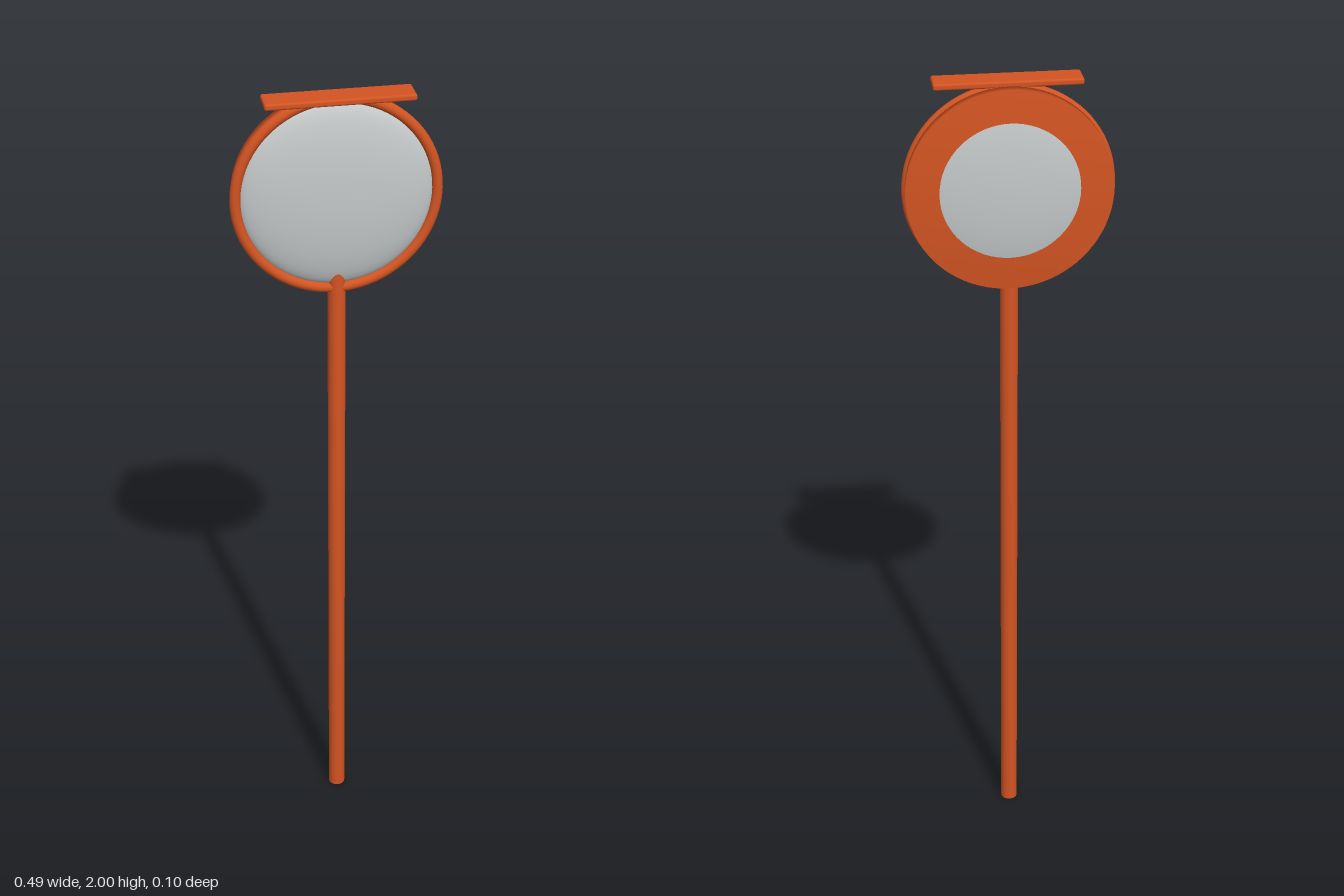
import * as THREE from 'three';
import { RoundedBoxGeometry } from 'three/addons/geometries/RoundedBoxGeometry.js';

const orange = new THREE.MeshStandardMaterial({ color: 0xd35422 });
orange.name = 'orange paint';
const silver = new THREE.MeshStandardMaterial({ color: 0xc4c8c8 });
silver.name = 'mirror silver';

const CENTRE_Y = 1.752; // centre of the mirror
const CENTRE_Z = -0.011; // shared axis of pole and mirror

// Closed cylinder with normals blended softly over its edges
function softCylinder(radius, bottom, top, segments) {
  const profile = [[0, bottom], [radius, bottom], [radius, top], [0, top]];
  return new THREE.LatheGeometry(profile.map(([r, y]) => new THREE.Vector2(r, y)), segments);
}

export function createModel() {
  const model = new THREE.Group();
  model.name = 'roadMirror';

  function add(name, geometry, material, x, y, z) {
    const mesh = new THREE.Mesh(geometry, material);
    mesh.name = name;
    mesh.position.set(x, y, z);
    model.add(mesh);
    return mesh;
  }

  // Pole, its top end hidden inside the mirror
  add('pole', softCylinder(0.021, 0, 1.6, 32), orange, 0, 0, CENTRE_Z);

  // Convex mirror, a flattened ball showing on both sides
  const lens = new THREE.SphereGeometry(1, 64, 40);
  lens.rotateX(Math.PI / 2);
  lens.scale(0.222, 0.222, 0.042);
  add('mirror', lens, silver, 0, CENTRE_Y, CENTRE_Z);

  // Rounded front rim
  add('frontRim', new THREE.TorusGeometry(0.231, 0.0125, 16, 80), orange, 0, CENTRE_Y, -0.006);

  // Shallow drum behind the rim
  const drum = softCylinder(0.237, 0.016, 0.04, 80);
  drum.rotateX(-Math.PI / 2);
  add('backPlate', drum, orange, 0, CENTRE_Y, 0);

  // Flat rain visor on top
  add('visor', new RoundedBoxGeometry(0.336, 0.015, 0.067, 3, 0.005), orange, 0, 1.9925, 0.0165);

  return model;
}
